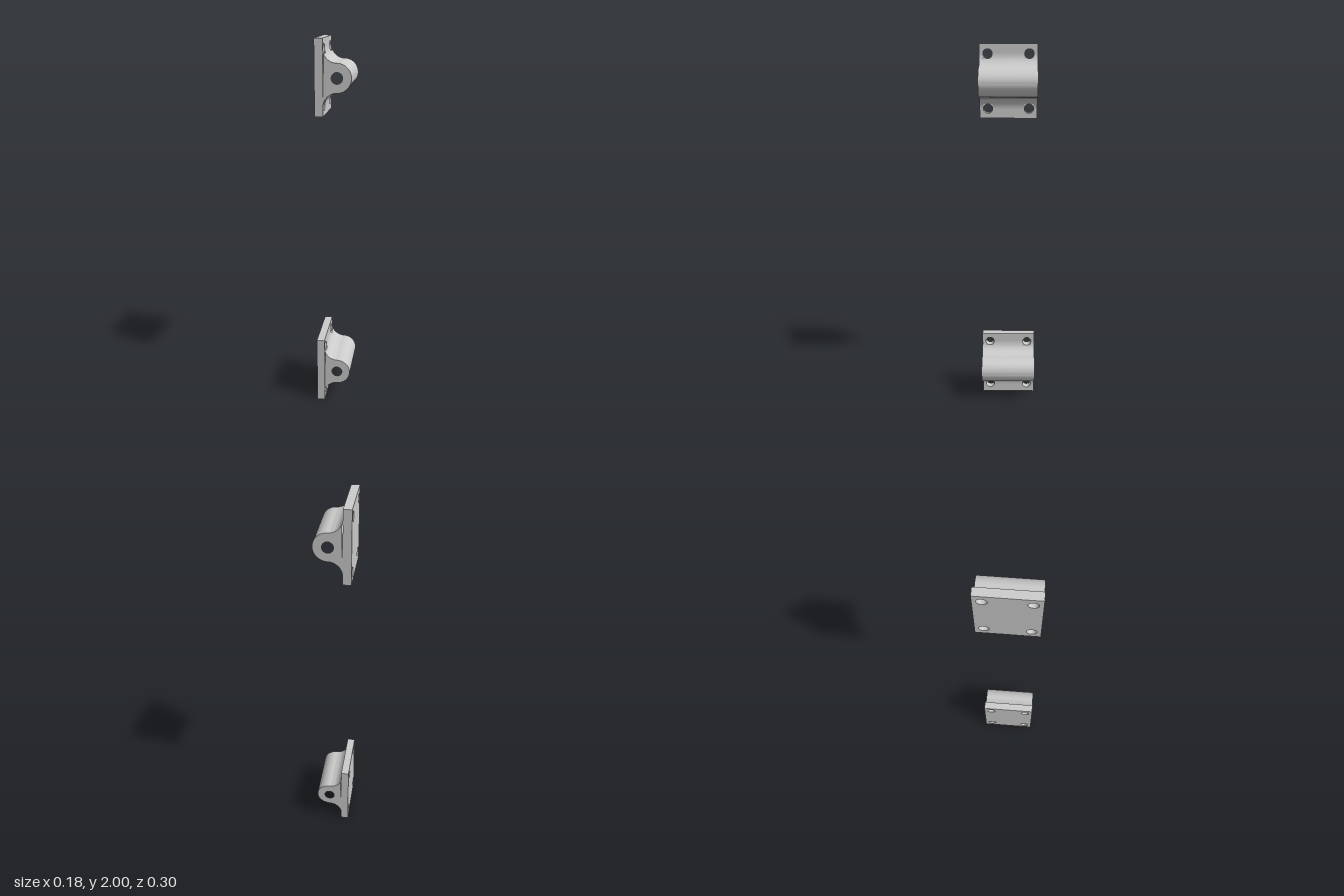
import * as THREE from 'three';
import { toCreasedNormals } from 'three/addons/utils/BufferGeometryUtils.js';

const H = 0.377, D = 0.3;               // plate height and bracket depth
const BACK = -0.092, FACE = -0.05;      // plate back and front, in x
const CX = 0.02, NOSE = 0.072, FILLET = 0.07, PIN = 0.028;
const SCREW = { y: 0.139, z: 0.107, r: 0.024 };
const FY = NOSE + FILLET;               // height of the fillet centre
const CLIP = SCREW.y - SCREW.r;         // fillet stops here beside the screw holes
const A = Math.asin((FY - CLIP) / FILLET);
const material = new THREE.MeshStandardMaterial({ color: 0xcccccc });

function extrude(shape, depth) {
  return new THREE.ExtrudeGeometry(shape, { depth, bevelEnabled: false, curveSegments: 32 });
}

function part(name, geometry) {
  const mesh = new THREE.Mesh(toCreasedNormals(geometry, 0.6), material);
  mesh.name = name;
  return mesh;
}

// Flat plate with four screw holes, drawn in z/y and extruded along x
function mountingPlate() {
  const s = new THREE.Shape();
  s.moveTo(-D / 2, -H / 2).lineTo(D / 2, -H / 2).lineTo(D / 2, H / 2).lineTo(-D / 2, H / 2).closePath();
  for (const y of [-SCREW.y, SCREW.y]) for (const z of [-SCREW.z, SCREW.z]) {
    s.holes.push(new THREE.Path().absarc(z, y, SCREW.r, 0, Math.PI * 2, true));
  }
  return part('mountingPlate', extrude(s, FACE - BACK).rotateY(Math.PI / 2).translate(BACK, 0, 0));
}

// Rounded lug with concave fillets and a pin hole along z
function pinLug() {
  const s = new THREE.Shape();
  s.moveTo(FACE, CLIP);
  s.absarc(CX, FY, FILLET, Math.PI + A, Math.PI * 1.5, false);
  s.absarc(CX, 0, NOSE, Math.PI / 2, -Math.PI / 2, true);
  s.absarc(CX, -FY, FILLET, Math.PI / 2, Math.PI - A, false);
  s.lineTo(FACE, -CLIP);
  s.closePath();
  s.holes.push(new THREE.Path().absarc(CX, 0, PIN, 0, Math.PI * 2, true));
  return part('pinLug', extrude(s, D).translate(0, 0, -D / 2));
}

// Thin fillet tips, left out where the screw holes pass
function filletTips() {
  const g = new THREE.Group();
  g.name = 'filletTips';
  const s = new THREE.Shape();
  s.moveTo(FACE, FY);
  s.absarc(CX, FY, FILLET, Math.PI, Math.PI + A, false);
  s.lineTo(FACE, CLIP);
  s.closePath();
  const inner = SCREW.z - SCREW.r, outer = SCREW.z + SCREW.r;
  for (const [z0, z1] of [[-D / 2, -outer], [-inner, inner], [outer, D / 2]]) {
    g.add(part('filletTip', extrude(s, z1 - z0).translate(0, 0, z0)));
  }
  return g;
}

function bracket(name, y) {
  const g = new THREE.Group();
  g.name = name;
  const lowerTips = filletTips();
  lowerTips.rotation.x = Math.PI;
  g.add(mountingPlate(), pinLug(), filletTips(), lowerTips);
  g.position.y = y;
  return g;
}

export function createModel() {
  const model = new THREE.Group();
  model.name = 'bracketPair';
  model.add(bracket('lowerBracket', H / 2), bracket('upperBracket', 2 - H / 2));
  return model;
}
